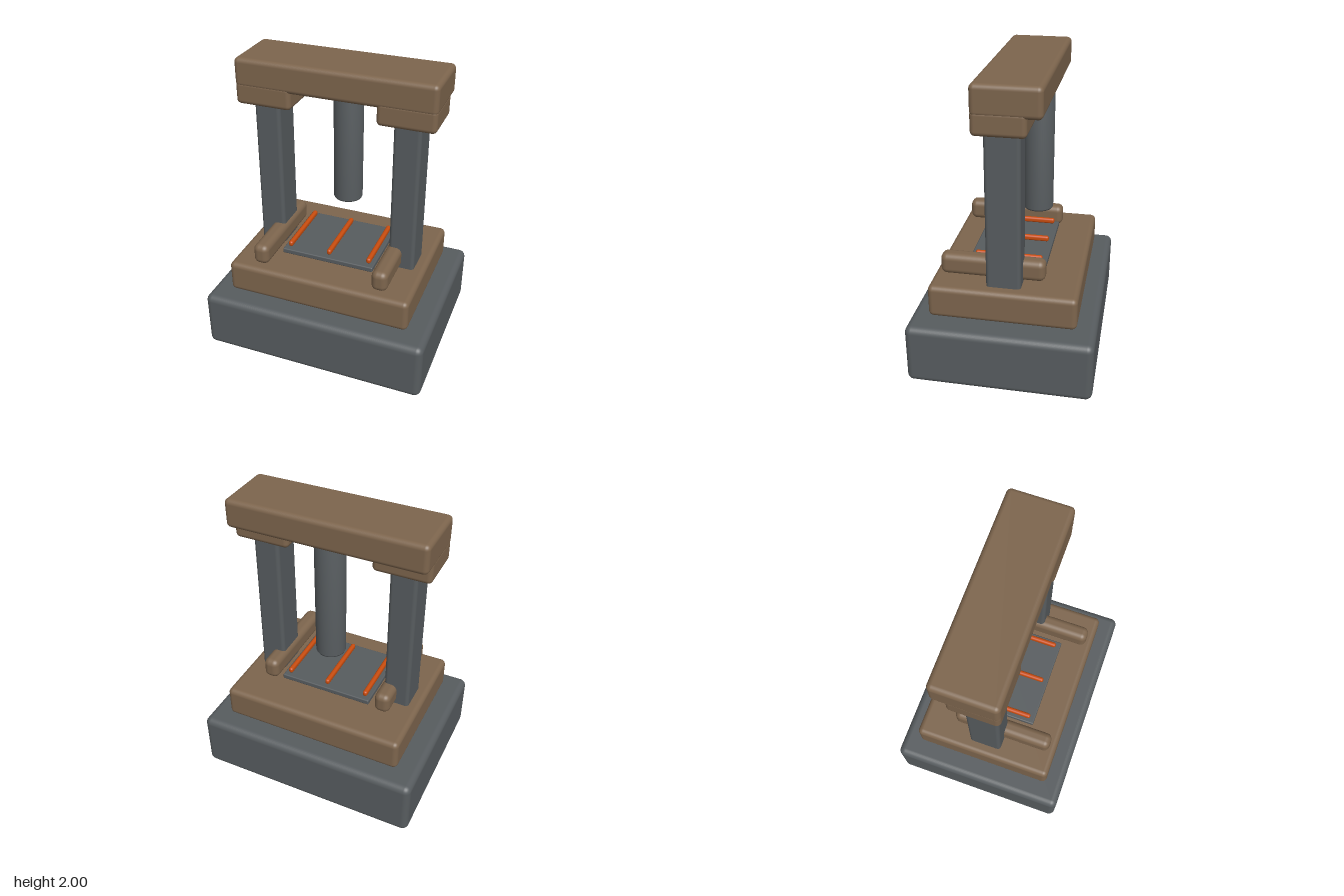
import * as THREE from 'three';
import { RoundedBoxGeometry } from 'three/addons/geometries/RoundedBoxGeometry.js';

export function createModel() {
  const model = new THREE.Group();
  model.name = 'press';

  const material = (name, color) => {
    const m = new THREE.MeshStandardMaterial({ color });
    m.name = name;
    return m;
  };
  const steel = material('steel grey', 0x575c5f);
  const bronze = material('bronze brown', 0x7d654d);
  const ember = material('ember orange', 0xc84c0e);

  // Rounded block given by its extents on each axis
  const block = (name, mat, [x0, x1], [y0, y1], [z0, z1], radius) => {
    const geo = new RoundedBoxGeometry(x1 - x0, y1 - y0, z1 - z0, 4, radius);
    const mesh = new THREE.Mesh(geo, mat);
    mesh.position.set((x0 + x1) / 2, (y0 + y1) / 2, (z0 + z1) / 2);
    mesh.name = name;
    model.add(mesh);
    return mesh;
  };

  // Stacked base and bed
  block('base', steel, [-0.78, 0.78], [0, 0.41], [-0.61, 0.61], 0.045);
  block('bed', bronze, [-0.637, 0.637], [0.425, 0.647], [-0.485, 0.485], 0.035);

  // Columns, their capitals and the side rails
  for (const [side, s] of [['right', -1], ['left', 1]]) {
    const span = (a, b) => (s > 0 ? [a, b] : [-b, -a]);
    block(side + 'Column', steel, span(0.383, 0.562), [0.62, 1.75], [-0.112, 0.114], 0.025);
    block(side + 'Capital', bronze, span(0.284, 0.664), [1.69, 1.845], [-0.165, 0.168], 0.03);
    block(side + 'Rail', bronze, span(0.365, 0.475), [0.655, 0.8], [-0.255, 0.437], 0.042);
  }

  // Crossbeam
  block('crossbeam', bronze, [-0.665, 0.665], [1.805, 2], [-0.257, 0.169], 0.032);

  // Hanging ram with a softened lower rim
  const ramProfile = [[0, 0], [0.088, 0], [0.096, 0.004], [0.1, 0.013], [0.1, 0.013], [0.1, 0.85], [0, 0.85]]
    .map(([r, y]) => new THREE.Vector2(r, y));
  const ram = new THREE.Mesh(new THREE.LatheGeometry(ramProfile, 40), steel);
  ram.name = 'ram';
  ram.position.set(0, 0.977, -0.135);
  model.add(ram);

  // Work plate with glowing bars
  block('workPlate', steel, [-0.325, 0.325], [0.676, 0.712], [-0.24, 0.276], 0.008);
  for (const x of [-0.283, 0, 0.283]) {
    block('glowingBar', ember, [x - 0.016, x + 0.016], [0.713, 0.752], [-0.21, 0.242], 0.0145);
  }

  return model;
}
